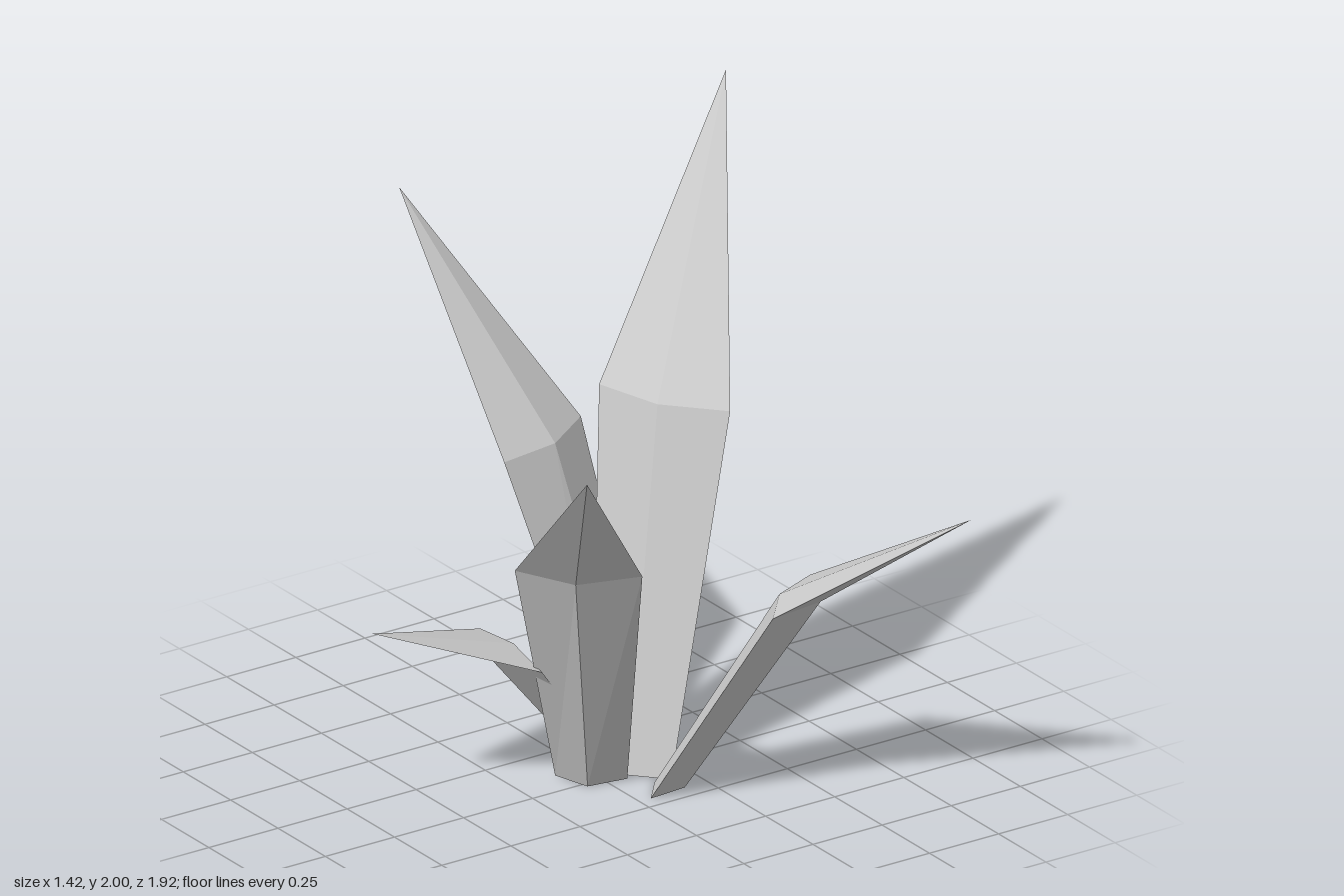
import * as THREE from 'three';

// Each leaf: base and middle cross-sections as [x, z] corners
// (side, keel, other side, inner ridge, counterclockwise from above), plus a tip.
const LEAVES = [
  { name: 'tallLeaf', midY: 1.12, tip: [0.71, 2.0, -0.38],
    base: [[0.17, 0.12], [0.165, -0.04], [0.04, -0.115], [0.08, 0.02]],
    mid: [[0.42, 0.065], [0.415, -0.19], [0.21, -0.32], [0.27, -0.10]] },
  { name: 'backLeaf', midY: 0.94, tip: [-0.075, 1.6, -0.96],
    base: [[0.31, -0.14], [0.165, -0.15], [0.07, -0.04], [0.2, -0.065]],
    mid: [[0.26, -0.49], [0.03, -0.51], [-0.12, -0.34], [0.085, -0.37]] },
  { name: 'frontRightLeaf', midY: 0.67, tip: [0.68, 1.03, 0.96],
    base: [[0.04, 0.2], [0.17, 0.19], [0.21, 0.07], [0.115, 0.11]],
    mid: [[0.235, 0.56], [0.425, 0.535], [0.51, 0.355], [0.355, 0.42]] },
  { name: 'frontLeftLeaf', midY: 0.82, tip: [-0.54, 1.36, 0.71],
    base: [[-0.1, -0.1], [-0.065, 0.02], [0.065, 0.04], [0.01, -0.05]],
    mid: [[-0.39, 0.11], [-0.3, 0.3], [-0.1, 0.36], [-0.21, 0.2]] },
  { name: 'lowLeaf', midY: 0.43, tip: [-0.71, 0.59, -0.175],
    base: [[0.09, -0.23], [0.03, -0.11], [0.07, 0.0], [0.1, -0.12]],
    mid: [[-0.22, -0.32], [-0.315, -0.14], [-0.25, 0.05], [-0.2, -0.175]] },
];

// Joins the two cross-sections, the tip and a closed base with flat facets
function leafGeometry({ base, mid, midY, tip }) {
  const a = base.map(([x, z]) => [x, 0, z]);
  const b = mid.map(([x, z]) => [x, midY, z]);
  const points = [];
  for (let i = 0; i < 4; i++) {
    const j = (i + 1) % 4;
    points.push(a[i], a[j], b[j], a[i], b[j], b[i]); // lower blade
    points.push(b[i], b[j], tip); // upper blade
  }
  points.push(a[1], a[0], a[3], a[1], a[3], a[2]); // underside
  const geometry = new THREE.BufferGeometry();
  geometry.setAttribute('position', new THREE.Float32BufferAttribute(points.flat(), 3));
  geometry.computeVertexNormals();
  return geometry;
}

export function createModel() {
  const group = new THREE.Group();
  group.name = 'leafCluster';
  const leafGrey = new THREE.MeshStandardMaterial({ color: 0xcccccc });
  leafGrey.name = 'leafGrey';
  for (const leaf of LEAVES) {
    const mesh = new THREE.Mesh(leafGeometry(leaf), leafGrey);
    mesh.name = leaf.name;
    group.add(mesh);
  }
  return group;
}
